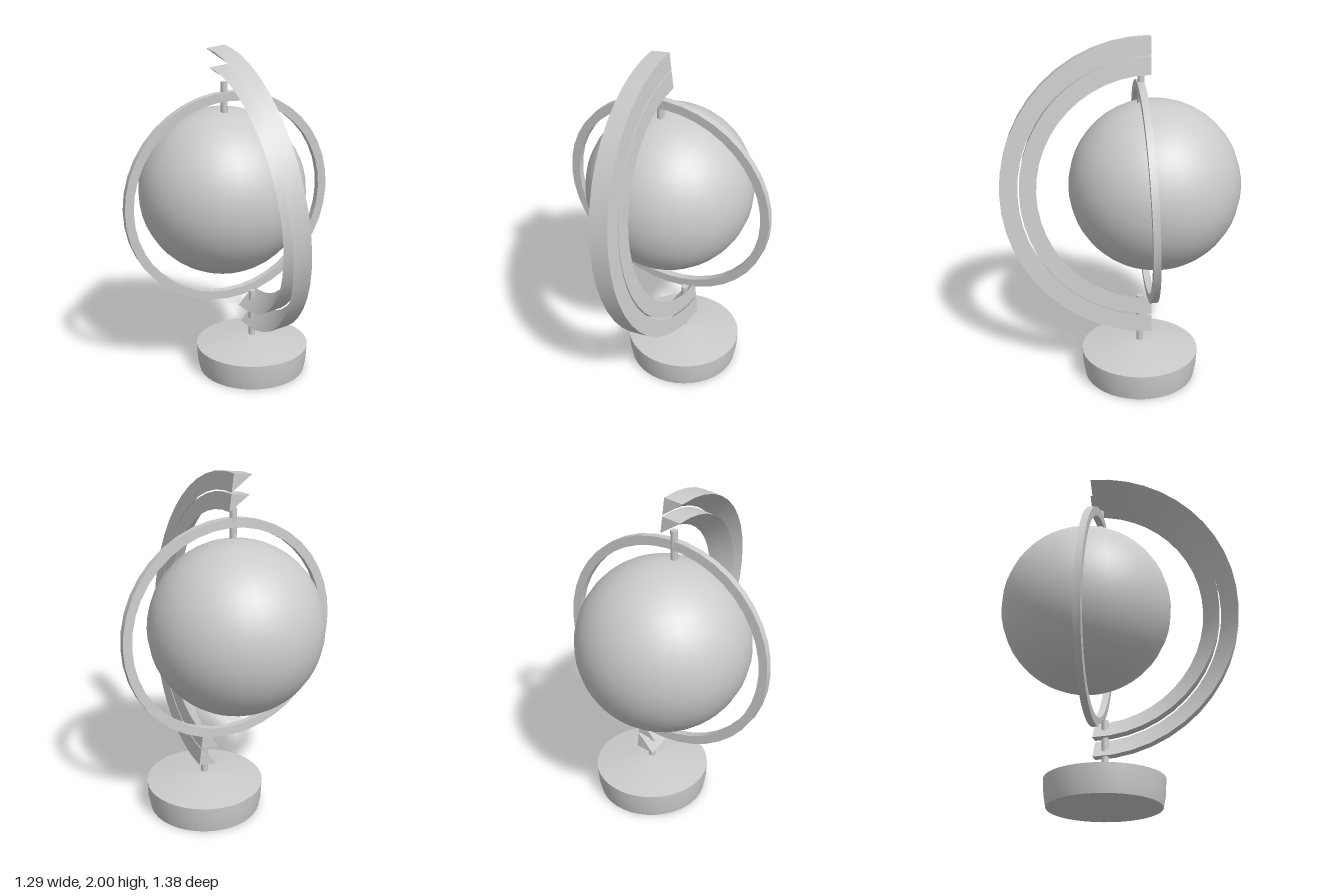
import * as THREE from 'three';
import { toCreasedNormals } from 'three/addons/utils/BufferGeometryUtils.js';

const material = new THREE.MeshStandardMaterial({ color: 0xcccccc, side: THREE.DoubleSide });

function add(parent, name, geometry, x = 0, y = 0, z = 0) {
  const mesh = new THREE.Mesh(geometry, material);
  mesh.name = name;
  mesh.position.set(x, y, z);
  parent.add(mesh);
  return mesh;
}

// Lathe from [radius, height] pairs, keeping hard edges sharp
function lathe(points, segments, start = 0, length = Math.PI * 2) {
  const profile = points.map(([r, h]) => new THREE.Vector2(r, h));
  return toCreasedNormals(new THREE.LatheGeometry(profile, segments, start, length), 0.6);
}

// Upright rod between two heights
function rod(parent, name, x, z, bottom, top) {
  add(parent, name, new THREE.CylinderGeometry(0.02, 0.02, top - bottom, 16), x, (top + bottom) / 2, z);
}

// Half-circle band with a wedge-shaped section: broad outside, one flat side
function wedgeBand(parent, name, inner, outer, halfWidth) {
  const section = [[outer, -halfWidth], [outer, halfWidth], [inner, halfWidth], [outer, -halfWidth]];
  const band = new THREE.Group();
  band.name = name;
  parent.add(band);
  const sweep = lathe(section, 24, -Math.PI / 2, Math.PI);
  sweep.rotateZ(-Math.PI / 2);
  add(band, name + 'Body', sweep);
  for (const side of [1, -1]) {
    const end = new THREE.Shape(section.slice(0, 3).map(([r, x]) => new THREE.Vector2(x, r * side)));
    add(band, name + 'End', new THREE.ShapeGeometry(end));
  }
}

export function createModel() {
  const model = new THREE.Group();
  model.name = 'globeOnStand';

  // Base with a shallow conical top
  add(model, 'base', lathe([
    [0, 0], [0.325, 0], [0.338, 0.07], [0.343, 0.16], [0.03, 0.212], [0, 0.212],
  ], 40), 0.14, 0, -0.1);

  // Lower stem and upper pivot
  rod(model, 'stem', 0.14, -0.1, 0.2, 0.505);
  rod(model, 'topPivot', -0.035, -0.112, 1.55, 1.8);

  // Globe
  add(model, 'globe', new THREE.SphereGeometry(0.496, 32, 24), -0.015, 1.14, -0.193);

  // Upright ring around the globe, leaning slightly forward
  const ring = add(model, 'ring', lathe([
    [0.59, -0.02], [0.643, -0.02], [0.643, 0.02], [0.59, 0.02], [0.59, -0.02],
  ], 40), 0, 1.103, -0.137);
  ring.rotation.x = Math.PI / 2 + 0.045;

  // Tilted double arch in front of the globe
  const arch = new THREE.Group();
  arch.name = 'arch';
  arch.position.set(0.042, 1.14, -0.165);
  arch.rotation.z = 0.125;
  wedgeBand(arch, 'outerBand', 0.755, 0.857, 0.055);
  wedgeBand(arch, 'innerBand', 0.65, 0.747, 0.055);
  model.add(arch);

  return model;
}
